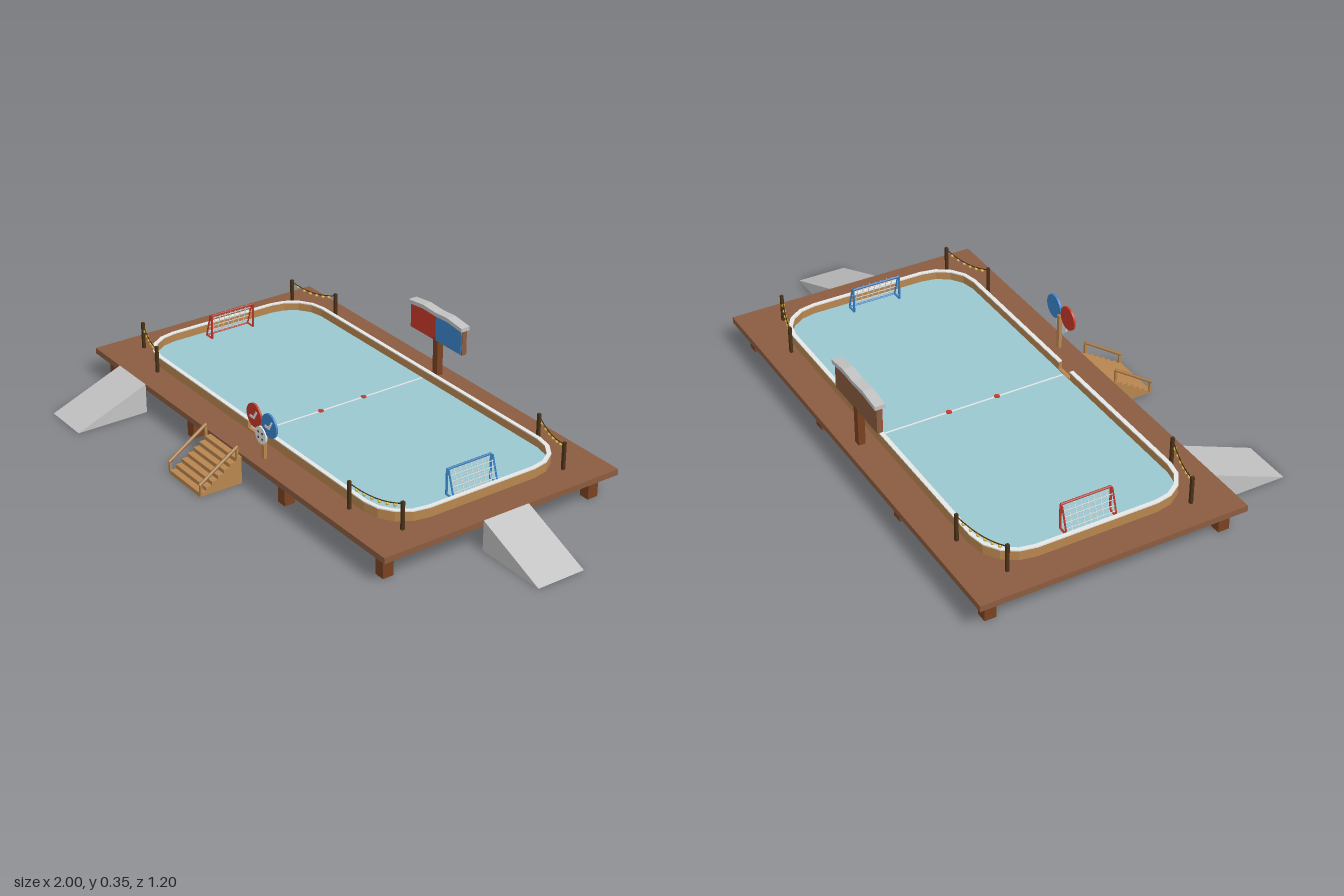
import * as THREE from 'three';

const mat = (name, color) => Object.assign(new THREE.MeshStandardMaterial({ color }), { name });
const M = {
  deck: mat('deck wood', 0x8b5c40), leg: mat('dark red wood', 0x7a4222), tan: mat('light wood', 0xb8864f),
  ice: mat('ice', 0x9bc8d0), grey: mat('concrete grey', 0xc2c2c2), white: mat('white', 0xe6e8e8),
  red: mat('red', 0xc8392b), blue: mat('blue', 0x3a85cc), dark: mat('dark wood', 0x4a3218),
  yellow: mat('bulb yellow', 0xe0c040),
};
const DECK = 0.108, CX = -0.1325, CZ = -0.135;

function add(parent, name, geo, material) {
  const m = new THREE.Mesh(geo, material);
  m.name = name;
  parent.add(m);
  return m;
}
// Box from its minimum and maximum on each axis
function box(parent, name, material, [x0, x1], [y0, y1], [z0, z1]) {
  const m = add(parent, name, new THREE.BoxGeometry(x1 - x0, y1 - y0, z1 - z0), material);
  m.position.set((x0 + x1) / 2, (y0 + y1) / 2, (z0 + z1) / 2);
  return m;
}
// Square or round bar between two points
function bar(parent, name, material, a, b, w, sides = 4) {
  const p = new THREE.Vector3(...a), q = new THREE.Vector3(...b);
  const d = q.clone().sub(p);
  const geo = new THREE.CylinderGeometry(w, w, d.length(), sides);
  if (sides === 4) geo.rotateY(Math.PI / 4);
  const m = add(parent, name, geo, material);
  m.position.copy(p).add(q).multiplyScalar(0.5);
  m.quaternion.setFromUnitVectors(new THREE.Vector3(0, 1, 0), d.normalize());
  return m;
}
const shapeOf = pts => new THREE.Shape(pts.map(p => new THREE.Vector2(...p)));
const extrude = (pts, depth) => new THREE.ExtrudeGeometry(shapeOf(pts), { depth, bevelEnabled: false });
// (x, z) outline made into a slab with its top at y
const slab = (pts, top, depth) => extrude(pts, depth).rotateX(Math.PI / 2).translate(0, top, 0);
// (z, y) profile extruded between x0 and x1
const sideways = (pts, x0, x1) => extrude(pts, x1 - x0).rotateY(-Math.PI / 2).translate(x1, 0, 0);

// Rounded rink outline, starting and ending at the front gate
const GATE = [-0.17, -0.10];
function outline(inset) {
  const hx = 0.757 - inset, hz = 0.355 - inset, r = 0.145 - inset, n = 4;
  const pts = [[GATE[1], CZ + hz]];
  [[1, 1], [1, -1], [-1, -1], [-1, 1]].forEach(([sx, sz], c) => {
    for (let i = 0; i <= n; i++) {
      const a = Math.PI / 2 * (1 - c - i / n);
      pts.push([CX + sx * (hx - r) + r * Math.cos(a), CZ + sz * (hz - r) + r * Math.sin(a)]);
    }
  });
  pts.push([GATE[0], CZ + hz]);
  return pts;
}
const ring = (a, b) => [...outline(a), ...outline(b).reverse()];

// Goal with its mouth towards the centre; s is the outward direction
function goal(parent, name, material, mouthX, s) {
  const g = new THREE.Group();
  g.name = name;
  parent.add(g);
  const z0 = CZ - 0.088, z1 = CZ + 0.088, y0 = 0.113, y1 = 0.203;
  const backX = mouthX + s * 0.037, topX = mouthX + s * 0.008;
  for (const z of [z0, z1]) {
    bar(g, 'goal post', material, [mouthX, y0, z], [mouthX, y1, z], 0.004);
    bar(g, 'goal side base', material, [mouthX, y0, z], [backX, y0, z], 0.004);
    bar(g, 'goal side brace', material, [backX, y0, z], [topX, y1, z], 0.003);
  }
  bar(g, 'goal crossbar', material, [mouthX, y1, z0], [mouthX, y1, z1], 0.004);
  bar(g, 'goal back base', material, [backX, y0, z0], [backX, y0, z1], 0.004);
  for (let i = 1; i < 8; i++) {
    const z = z0 + (z1 - z0) * i / 8;
    bar(g, 'net cord', M.white, [topX, y1, z], [backX, y0, z], 0.0015);
  }
  for (let i = 1; i < 5; i++) {
    const t = i / 5, x = backX + (topX - backX) * t, y = y0 + (y1 - y0) * t;
    bar(g, 'net cord', M.white, [x, y, z0], [x, y, z1], 0.0015);
  }
}

// Two posts with a sagging string of bulbs
function lights(parent, a, b) {
  const g = new THREE.Group();
  g.name = 'stringLights';
  parent.add(g);
  for (const [x, z] of [a, b])
    box(g, 'light post', M.dark, [x - 0.005, x + 0.005], [DECK, 0.207], [z - 0.005, z + 0.005]);
  const at = t => new THREE.Vector3(a[0] + (b[0] - a[0]) * t, 0.2 - 0.072 * t * (1 - t), a[1] + (b[1] - a[1]) * t);
  const pts = Array.from({ length: 9 }, (_, i) => at(i / 8));
  add(g, 'light wire', new THREE.TubeGeometry(new THREE.CatmullRomCurve3(pts), 16, 0.002, 5), M.dark);
  for (let i = 1; i < 7; i++) {
    const bulb = add(g, 'bulb', new THREE.SphereGeometry(0.006, 8, 6), M.yellow);
    bulb.position.copy(at(i / 7)).y -= 0.006;
  }
}

// Round sign facing front and back
function disc(parent, name, material, x, y, z, r) {
  const m = add(parent, name, new THREE.CylinderGeometry(r, r, 0.007, 28).rotateX(Math.PI / 2), material);
  m.position.set(x, y, z);
}

export function createModel() {
  const root = new THREE.Group();
  root.name = 'iceRink';

  // Deck and its legs
  box(root, 'deck', M.deck, [-1, 0.735], [0.087, DECK], [-0.6, 0.33]);
  for (const x of [-0.935, -0.408, 0.143, 0.67])
    for (const z of [0.28, -0.54])
      box(root, 'deck leg', M.leg, [x - 0.019, x + 0.019], [0, 0.087], [z - 0.02, z + 0.02]);

  // Ice, boards and markings
  add(root, 'ice', slab(outline(0.006), 0.112, 0.004), M.ice);
  add(root, 'rink boards', slab(ring(0, 0.012), 0.141, 0.033), M.tan);
  add(root, 'board trim', slab(ring(-0.001, 0.014), 0.145, 0.004), M.white);
  box(root, 'gate threshold', M.tan, GATE, [DECK, 0.115], [0.207, 0.22]);
  box(root, 'centre line', M.white, [CX - 0.003, CX + 0.003], [0.112, 0.113], [-0.476, 0.206]);
  for (const z of [CZ - 0.09, CZ + 0.088]) {
    const spot = add(root, 'red spot', new THREE.CylinderGeometry(0.01, 0.01, 0.003, 12), M.red);
    spot.position.set(CX, 0.1135, z);
  }
  goal(root, 'redGoal', M.red, -0.816, -1);
  goal(root, 'blueGoal', M.blue, 0.551, 1);

  // Ramps
  add(root, 'front ramp', sideways([[0.33, 0], [0.6, 0], [0.33, DECK]], -0.828, -0.65), M.grey);
  add(root, 'side ramp', extrude([[0.735, 0], [1, 0], [0.735, DECK]], 0.18).translate(0, 0, -0.228), M.grey);

  // Stairs with handrails
  const steps = 7, profile = [[0.33, 0], [0.49, 0]];
  for (let i = 0; i < steps; i++) {
    const y = 0.1 * (i + 1) / steps;
    profile.push([0.49 - 0.16 * i / steps, y], [0.49 - 0.16 * (i + 1) / steps, y]);
  }
  add(root, 'stairs', sideways(profile, -0.23, -0.043), M.tan);
  for (const x of [-0.231, -0.042]) {
    bar(root, 'handrail', M.tan, [x, 0.045, 0.492], [x, 0.142, 0.345], 0.006);
    box(root, 'lower rail post', M.tan, [x - 0.004, x + 0.004], [0.005, 0.046], [0.484, 0.492]);
    box(root, 'upper rail post', M.tan, [x - 0.004, x + 0.004], [0.095, 0.142], [0.344, 0.352]);
  }

  // Scoreboard with a snowy cap
  box(root, 'scoreboard post', M.leg, [CX - 0.013, CX + 0.013], [DECK, 0.25], [-0.555, -0.531]);
  box(root, 'scoreboard', M.deck, [-0.278, 0.01], [0.238, 0.335], [-0.553, -0.534]);
  box(root, 'red score panel', M.red, [-0.274, -0.134], [0.241, 0.333], [-0.534, -0.531]);
  box(root, 'blue score panel', M.blue, [-0.134, 0.006], [0.241, 0.333], [-0.534, -0.531]);
  const cap = [[-0.283, 0.329], [-0.2, 0.338], [CX, 0.335], [-0.065, 0.338], [0.014, 0.329],
    [0.014, 0.343], [-0.065, 0.353], [CX, 0.349], [-0.2, 0.353], [-0.283, 0.343]];
  add(root, 'scoreboard cap', extrude(cap, 0.036).translate(0, 0, -0.561), M.grey);

  // Sign post with round signs
  box(root, 'sign post', M.tan, [0.014, 0.028], [DECK, 0.235], [0.277, 0.289]);
  disc(root, 'red sign', M.red, -0.024, 0.246, 0.288, 0.042);
  disc(root, 'blue sign', M.blue, 0.065, 0.246, 0.289, 0.042);
  disc(root, 'white sign', M.white, 0.021, 0.195, 0.293, 0.031);
  for (const [x, z] of [[-0.024, 0.292], [0.065, 0.293]]) {
    const stick = [[-0.022, -0.012], [0.004, -0.012], [0.022, 0.018], [0.014, 0.02], [-0.002, -0.003], [-0.022, -0.003]];
    add(root, 'stick plate', extrude(stick, 0.002).translate(x, 0.246, z - 0.001), M.white);
  }
  for (const dx of [-0.011, 0.011])
    for (const dy of [-0.01, 0.01])
      disc(root, 'sign dot', M.dark, 0.021 + dx, 0.195 + dy, 0.2945, 0.004);

  // String lights at the four corners
  for (const [outer, inner] of [[0.187, 0.247], [-0.455, -0.515]]) {
    lights(root, [-0.903, outer], [-0.708, inner]);
    lights(root, [0.634, outer], [0.44, inner]);
  }
  return root;
}
